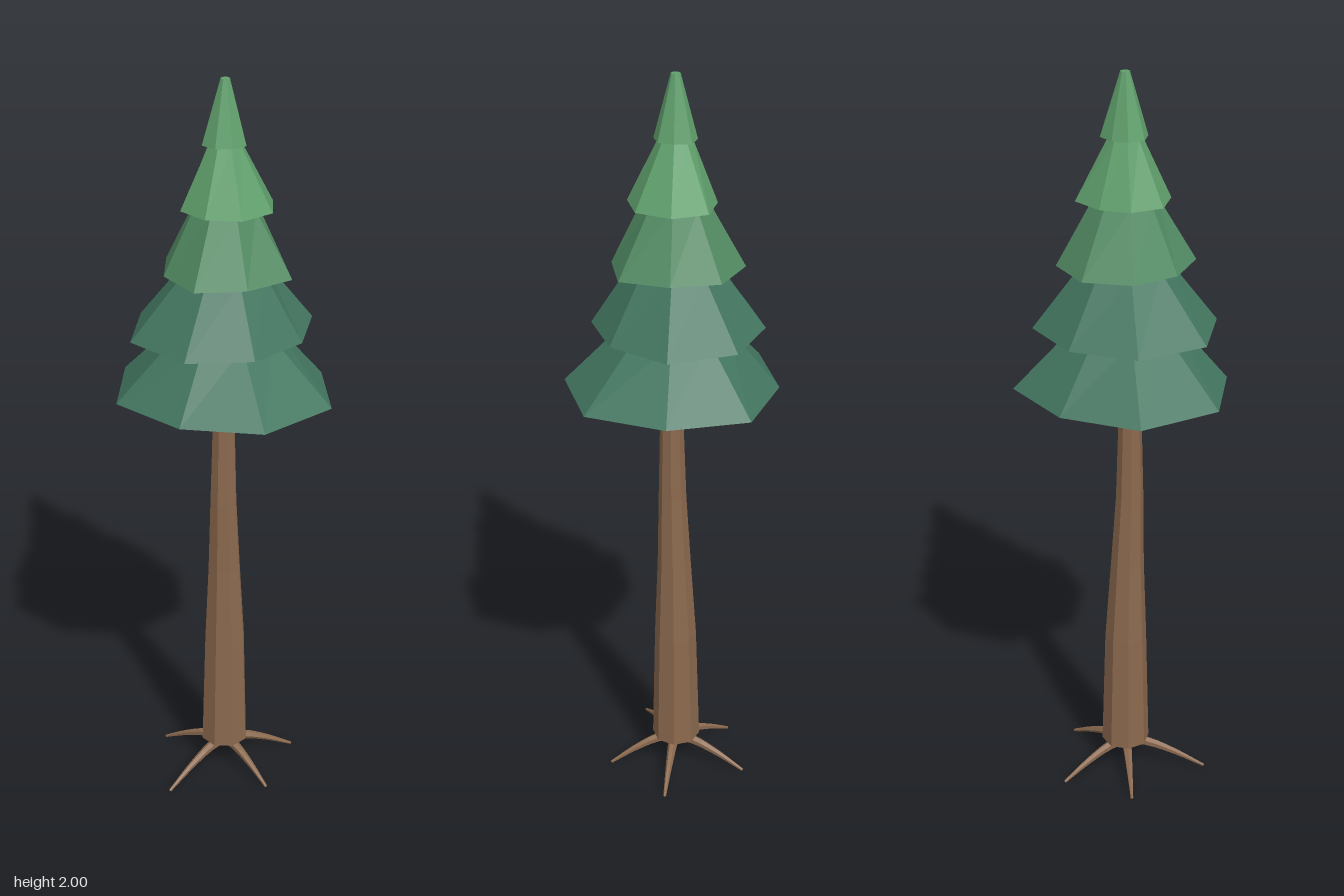
import * as THREE from 'three';

const SIDES = 8;

// ring of points around (cx, cz); r is one radius or a list of radii per corner
function ring(cx, y, cz, r) {
  return Array.from({ length: SIDES }, (_, i) => {
    const a = (i / SIDES) * Math.PI * 2;
    const radius = Array.isArray(r) ? r[i] : r;
    return new THREE.Vector3(cx + Math.cos(a) * radius, y, cz + Math.sin(a) * radius);
  });
}

// skin stacked rings (bottom to top) with optional end caps
function loft(rings, capBottom, capTop) {
  const pts = [];
  const cap = (r, up) => {
    const c = r.reduce((s, p) => s.add(p), new THREE.Vector3()).divideScalar(r.length);
    r.forEach((p, i) => {
      const q = r[(i + 1) % r.length];
      pts.push(c, ...(up ? [q, p] : [p, q]));
    });
  };
  for (let k = 0; k < rings.length - 1; k++) {
    const lo = rings[k], hi = rings[k + 1];
    for (let i = 0; i < SIDES; i++) {
      const j = (i + 1) % SIDES;
      pts.push(lo[i], hi[i], lo[j], hi[i], hi[j], lo[j]);
    }
  }
  if (capBottom) cap(rings[0], false);
  if (capTop) cap(rings[rings.length - 1], true);
  const g = new THREE.BufferGeometry().setFromPoints(pts);
  g.computeVertexNormals();
  return g;
}

// tube that thins towards its end
function taperedTube(curve, r0, r1) {
  const steps = 8, radial = 6;
  const g = new THREE.TubeGeometry(curve, steps, r0, radial, false);
  const pos = g.attributes.position, v = new THREE.Vector3();
  for (let i = 0; i < pos.count; i++) {
    const t = Math.floor(i / (radial + 1)) / steps;
    const c = curve.getPointAt(t);
    v.fromBufferAttribute(pos, i).sub(c).multiplyScalar(THREE.MathUtils.lerp(1, r1 / r0, t)).add(c);
    pos.setXYZ(i, v.x, Math.max(0, v.y), v.z);
  }
  g.computeVertexNormals();
  return g;
}

function material(color, side = THREE.FrontSide) {
  return new THREE.MeshStandardMaterial({ color, flatShading: true, side });
}

export function createModel() {
  const model = new THREE.Group();
  const add = (name, geometry, mat) => {
    const mesh = new THREE.Mesh(geometry, mat);
    mesh.name = name;
    model.add(mesh);
  };

  // trunk, swelling towards the base on the left and back: y, x, z, radius
  const trunk = [
    [0.08, 0.01, -0.015, 0.066],
    [0.42, 0.01, -0.013, 0.057],
    [0.65, 0.007, -0.009, 0.045],
    [0.85, 0.003, -0.004, 0.037],
    [1.21, 0.003, -0.001, 0.027],
  ].map(([y, x, z, r]) => ring(x, y, z, r));
  add('trunk', loft(trunk, true, true), material(0x8b694e));

  // roots arching out of the trunk base to the ground
  const rootTips = [[0.21, 0], [0.07, 0.165], [-0.19, 0.09], [-0.12, -0.155], [0.075, -0.21]];
  const bark = material(0x8b694e, THREE.DoubleSide);
  for (const [x, z] of rootTips) {
    const cx = 0.01, cz = -0.012;
    const at = (t, y) => new THREE.Vector3(cx + (x - cx) * t, y, cz + (z - cz) * t);
    const curve = new THREE.CatmullRomCurve3([at(0, 0.07), at(0.28, 0.066), at(0.62, 0.042), at(1, 0.004)]);
    add('root', taperedTube(curve, 0.016, 0.004), bark);
  }

  // foliage tiers: base height, top height, top radius, colour, uneven base radii
  const tiers = [
    [1.185, 1.35, 0.13, 0x437660, [0.27, 0.298, 0.288, 0.266, 0.294, 0.291, 0.268, 0.291]],
    [1.35, 1.515, 0.11, 0x437660, [0.24, 0.213, 0.215, 0.236, 0.253, 0.241, 0.229, 0.238]],
    [1.515, 1.68, 0.083, 0x528b63, [0.156, 0.183, 0.161, 0.18, 0.162, 0.165, 0.176, 0.175]],
    [1.68, 1.84, 0.042, 0x60a06c, [0.126, 0.128, 0.12, 0.115, 0.117, 0.105, 0.104, 0.125]],
    [1.84, 2.0, 0.012, 0x60a06c, [0.051, 0.057, 0.054, 0.057, 0.06, 0.059, 0.054, 0.062]],
  ];
  tiers.forEach(([y0, y1, top, color, radii], i) => {
    const rings = [ring(0.01, y0, -0.012, radii), ring(0.01, y1, -0.012, top)];
    // the lowest skirt is hollow, the others have a flat underside
    add('foliageTier', loft(rings, i > 0, i === 4), material(color, THREE.DoubleSide));
  });

  return model;
}
